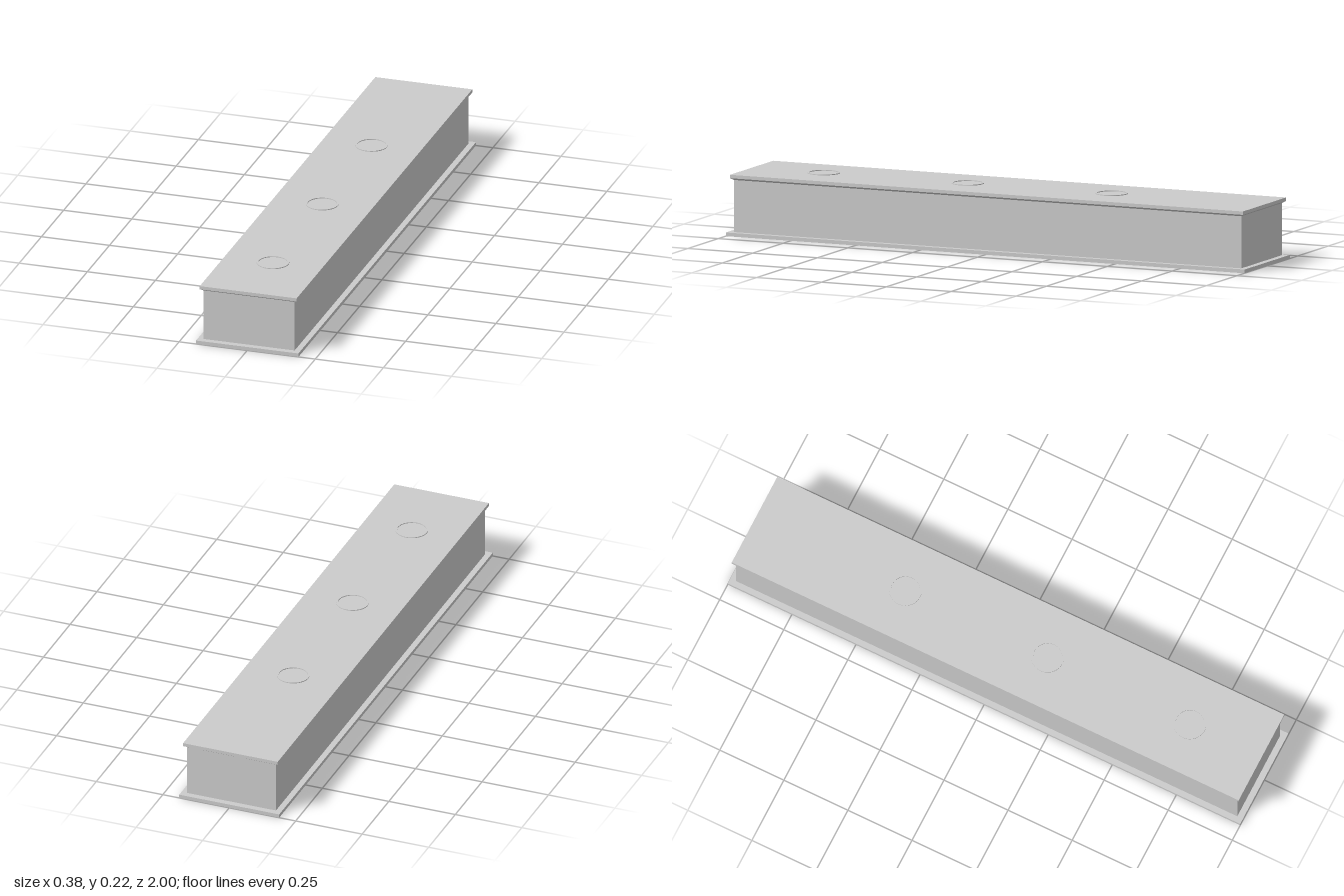
import * as THREE from 'three';

const material = new THREE.MeshStandardMaterial({ color: 0xcccccc });

function add(group, name, geometry) {
  const mesh = new THREE.Mesh(geometry, material);
  mesh.name = name;
  group.add(mesh);
  return mesh;
}

// Box between two heights; its lower rim may be inset to make a sloped underside.
function slab(halfX, halfZ, y0, y1, inset = 0) {
  const geometry = new THREE.BoxGeometry(2 * halfX, y1 - y0, 2 * halfZ);
  geometry.translate(0, (y0 + y1) / 2, 0);
  const p = geometry.attributes.position;
  const middle = (y0 + y1) / 2;
  for (let i = 0; i < p.count; i++) {
    if (p.getY(i) < middle) {
      p.setX(i, p.getX(i) - Math.sign(p.getX(i)) * inset);
      p.setZ(i, p.getZ(i) - Math.sign(p.getZ(i)) * inset);
    }
  }
  geometry.computeVertexNormals();
  return geometry;
}

export function createModel() {
  const group = new THREE.Group();
  group.name = 'longPlinth';

  // Stacked body
  add(group, 'basePlate', slab(0.188, 1, 0, 0.013));
  add(group, 'body', slab(0.167, 0.978, 0.013, 0.197));
  add(group, 'coverBevel', slab(0.178, 0.989, 0.197, 0.204, 0.011));
  add(group, 'coverPlate', slab(0.178, 0.989, 0.204, 0.216));

  // Thin raised rings along the cover
  const ring = new THREE.Shape().absarc(0, 0, 0.057, 0, 2 * Math.PI);
  ring.holes.push(new THREE.Path().absarc(0, 0, 0.051, 0, 2 * Math.PI, true));
  const ringGeometry = new THREE.ExtrudeGeometry(ring, {
    depth: 0.003, bevelEnabled: false, curveSegments: 32,
  });
  ringGeometry.rotateX(-Math.PI / 2);
  [-0.4, 0.155, 0.71].forEach((z, i) => {
    add(group, `coverRing${i + 1}`, ringGeometry).position.set(0, 0.216, z);
  });

  return group;
}
